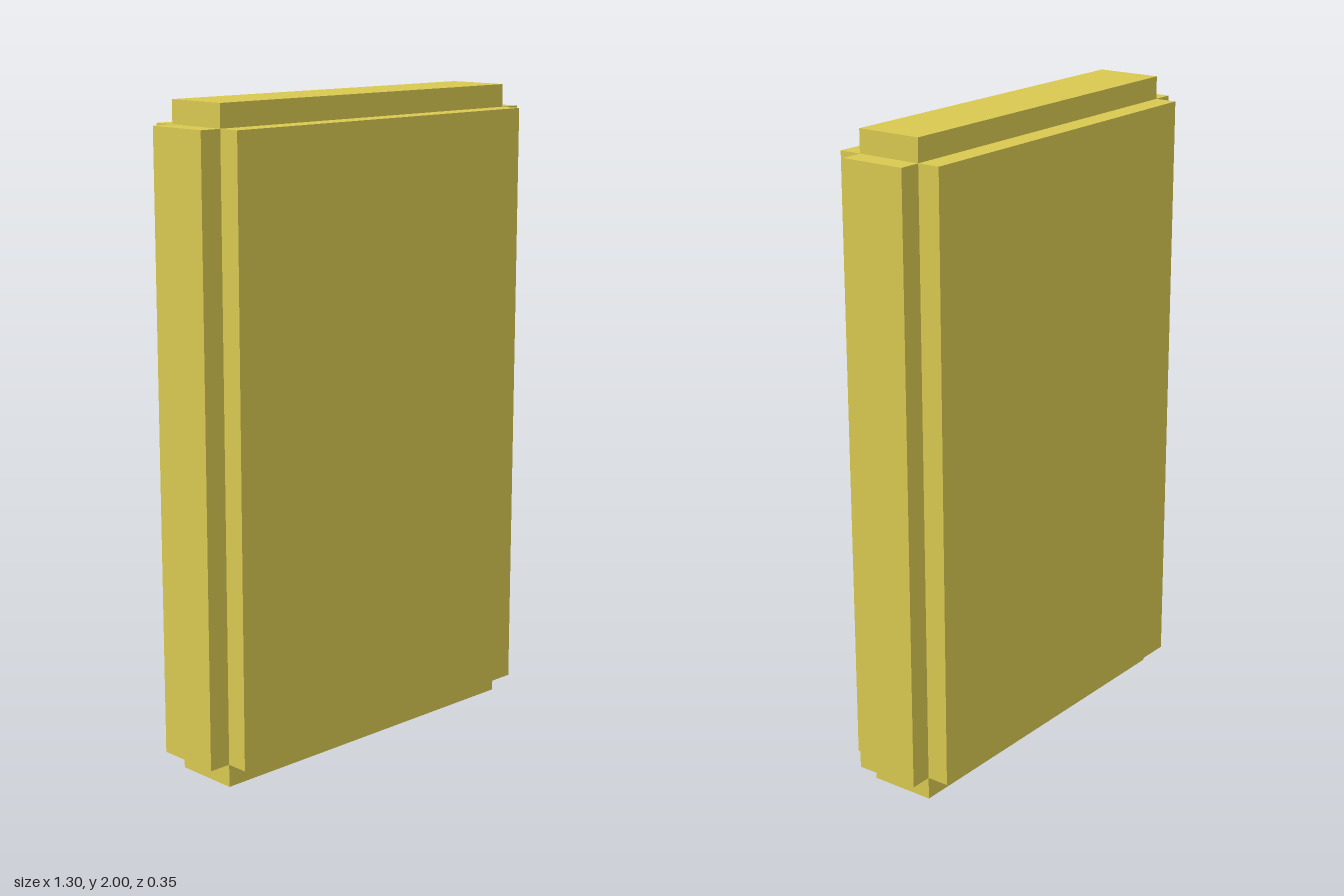
import * as THREE from 'three';

// Overall half-sizes of the slab and the depth of the step notched along every edge
const HALF = { x: 0.65, y: 1, z: 0.173 };
const STEP = 0.07;

export function createModel() {
  const model = new THREE.Group();
  model.name = 'steppedSlab';
  const material = new THREE.MeshStandardMaterial({ color: 0xd8c850, flatShading: true });

  // One block per axis: it reaches full size along that axis and is inset on the other two
  const names = { x: 'sidePanels', y: 'topAndBottomPanels', z: 'frontAndBackPanels' };
  for (const axis of ['x', 'y', 'z']) {
    const size = ['x', 'y', 'z'].map((a) => 2 * (HALF[a] - (a === axis ? 0 : STEP)));
    const block = new THREE.Mesh(new THREE.BoxGeometry(...size), material);
    block.name = names[axis];
    block.position.y = HALF.y;
    model.add(block);
  }
  return model;
}
